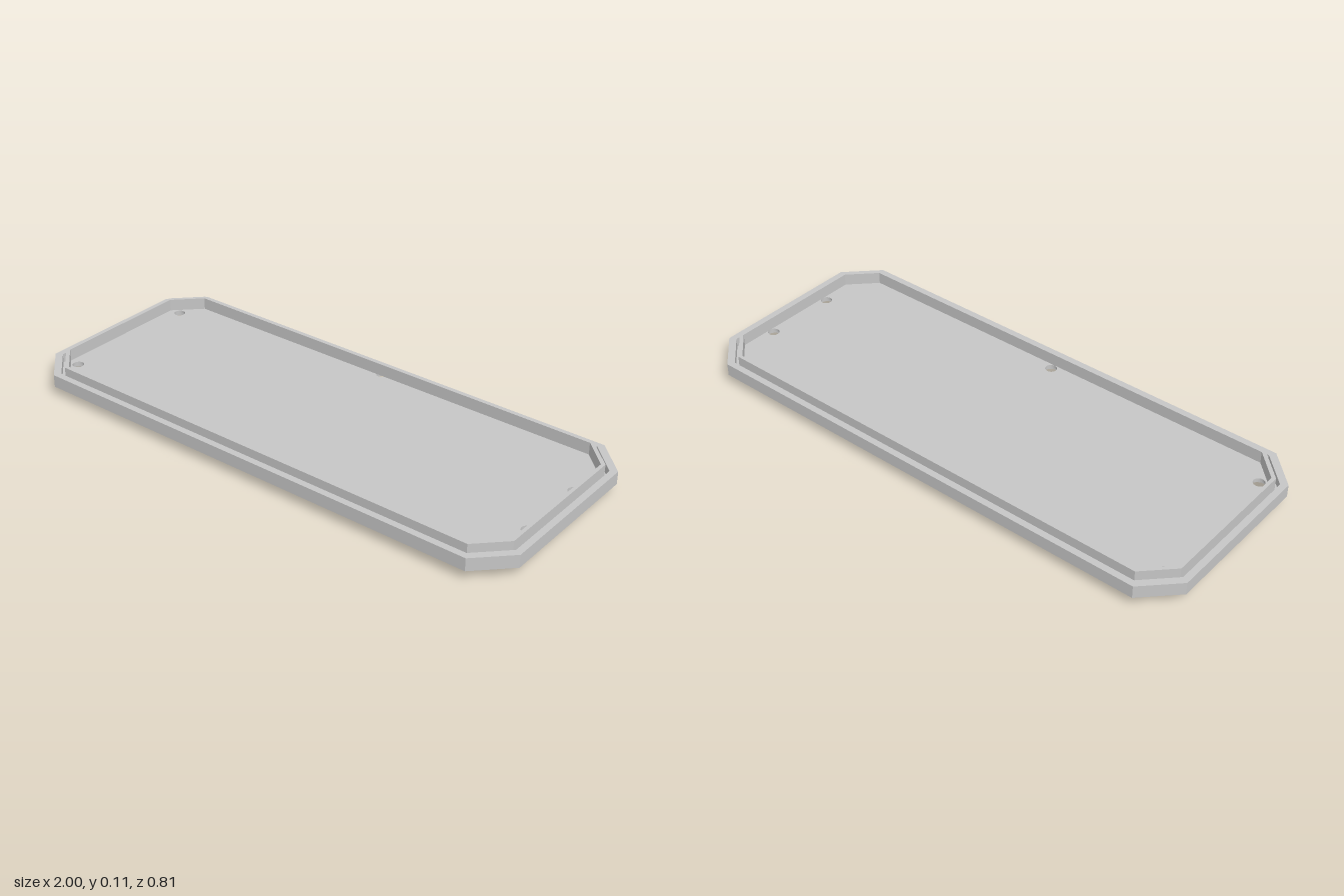
import * as THREE from 'three';

const HALF_X = 1, HALF_Z = 0.407, CUT = 0.116;

// Octagon corners (shape y is -z), counterclockwise from the back left
function octagon(hx, hz, c) {
  return [
    [-hx + c, hz], [-hx, hz - c], [-hx, -hz + c], [-hx + c, -hz],
    [hx - c, -hz], [hx, -hz + c], [hx, hz - c], [hx - c, hz],
  ].map(([x, y]) => new THREE.Vector2(x, y));
}

// Tray outline moved inward by d
const inset = (d) => octagon(HALF_X - d, HALF_Z - d, CUT - 0.45 * d);

const circle = (x, z, r) => new THREE.Path().absarc(x, -z, r, 0, Math.PI * 2, true);

export function createModel() {
  const group = new THREE.Group();
  const grey = new THREE.MeshStandardMaterial({ color: 0xc6c6c6 });
  grey.name = 'plainGrey';

  function layer(name, outline, holes, y0, y1) {
    const shape = new THREE.Shape(outline);
    shape.holes.push(...holes);
    const geo = new THREE.ExtrudeGeometry(shape, { depth: y1 - y0, bevelEnabled: false, curveSegments: 16 });
    geo.rotateX(-Math.PI / 2).translate(0, y0, 0);
    const mesh = new THREE.Mesh(geo, grey);
    mesh.name = name;
    group.add(mesh);
  }

  const screws = [[-0.907, -0.268], [-0.907, 0.268], [0.93, -0.138], [0.93, 0.138], [0, 0.335]];
  const backScrew = [0, -0.367];

  // Mounting foot with four blind holes
  const feet = [];
  for (const x of [-0.22, 0.22]) for (const z of [-0.175, 0.175]) feet.push(circle(x, z, 0.03));
  layer('mountingFoot', octagon(0.302, 0.256, 0.094), feet, 0, 0.036);

  // Base plate with the wide screw recesses
  layer('basePlate', inset(0), [...screws, backScrew].map(([x, z]) => circle(x, z, 0.03)), 0.036, 0.05);

  // Floor with narrow screw holes; the back one breaks out through the edge
  const floor = inset(0.037);
  const r = 0.021, edge = HALF_Z - 0.037;
  const a = Math.asin((edge + backScrew[1]) / r);
  for (let i = 0; i <= 16; i++) {
    const t = a - (i / 16) * (Math.PI + 2 * a);
    floor.push(new THREE.Vector2(r * Math.cos(t), -backScrew[1] + r * Math.sin(t)));
  }
  layer('floor', floor, screws.map(([x, z]) => circle(x, z, r)), 0.05, 0.06);

  // Outer wall, with a narrow groove between it and the raised rim
  layer('outerWall', inset(0), [new THREE.Path(inset(0.024))], 0.05, 0.083);
  layer('raisedRim', inset(0.037), [new THREE.Path(inset(0.05))], 0.06, 0.105);

  return group;
}
